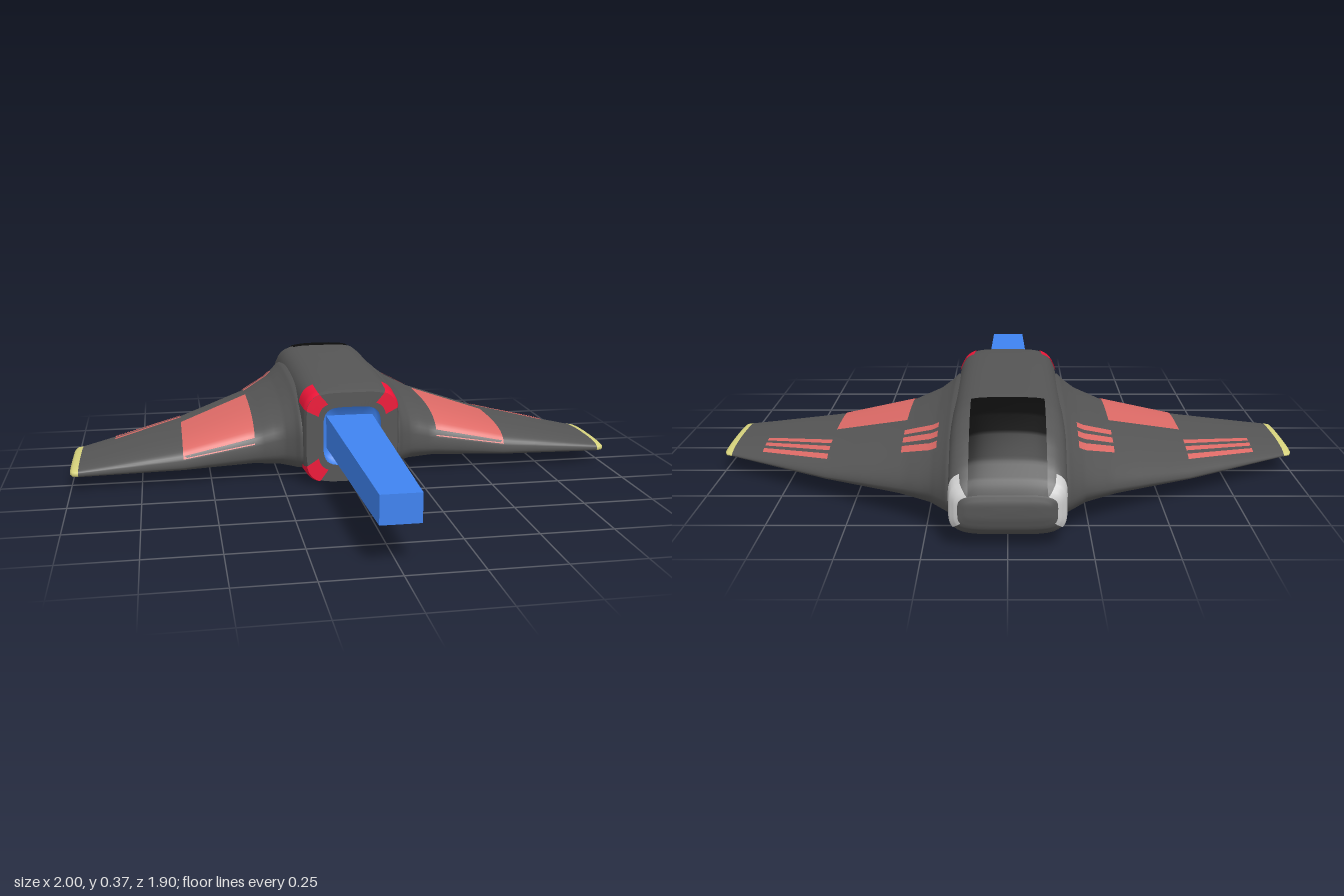
import * as THREE from 'three';
import { mergeVertices } from 'three/addons/utils/BufferGeometryUtils.js';

const COLORS = { hull: 0x555555, stripe: 0xdd6a66, red: 0xee1538, flame: 0x3f83f0, canopy: 0x0b0b0b, tip: 0xd6d27c, grey: 0xcccccc };

// Fuselage stations, nose to tail: z, half width, bottom y, top y
const BODY = [
  [-0.95, 0.12, 0.1, 0.15], [-0.942, 0.15, 0.07, 0.178], [-0.925, 0.168, 0.05, 0.207],
  [-0.88, 0.175, 0.027, 0.252], [-0.8, 0.178, 0.01, 0.31], [-0.72, 0.18, 0.004, 0.346],
  [-0.65, 0.18, 0.002, 0.364], [-0.55, 0.18, 0, 0.368], [-0.2, 0.18, 0, 0.365],
  [0.04, 0.18, 0.002, 0.358], [0.14, 0.174, 0.008, 0.35], [0.16, 0.166, 0.014, 0.343],
];
// Wing stations, root to tip: x, leading z, trailing z, bottom y, middle y, top y
const WING = [
  [0.14, -0.92, 0.14, 0.01, 0.14, 0.33], [0.18, -0.885, 0.135, 0.008, 0.135, 0.318],
  [0.2, -0.85, 0.11, 0.01, 0.13, 0.3], [0.24, -0.79, 0.08, 0.016, 0.125, 0.27],
  [0.34, -0.7, 0.06, 0.03, 0.105, 0.222], [0.6, -0.52, 0.07, 0.035, 0.075, 0.15],
  [0.97, -0.27, 0.08, 0.043, 0.063, 0.086],
];
const TIP = [
  WING[6], [0.99, -0.262, 0.077, 0.046, 0.063, 0.083],
  [1, -0.24, 0.06, 0.053, 0.063, 0.073], [1, -0.09, -0.09, 0.063, 0.063, 0.063],
];

const lerp = THREE.MathUtils.lerp;
const mix = (a, b, t) => a.map((v, i) => lerp(v, b[i], t));

// Row of a table at fraction v of its rows
function rowAt(table, v) {
  const f = v * (table.length - 1), i = Math.min(Math.floor(f), table.length - 2);
  return mix(table[i], table[i + 1], f - i);
}

// Row of a table at a value of its first column
function rowFor(table, key) {
  let i = 0;
  while (i < table.length - 2 && table[i + 1][0] < key) i++;
  return mix(table[i], table[i + 1], (key - table[i][0]) / (table[i + 1][0] - table[i][0]));
}

// Smooth grid mesh of fn(u, v) => [x, y, z]
function surface(name, color, fn, nu, nv, side = THREE.FrontSide) {
  const pos = [], idx = [];
  for (let j = 0; j <= nv; j++) for (let i = 0; i <= nu; i++) pos.push(...fn(i / nu, j / nv));
  for (let j = 0; j < nv; j++) {
    for (let i = 0; i < nu; i++) {
      const a = j * (nu + 1) + i, b = a + 1, c = a + nu + 1, d = c + 1;
      idx.push(a, b, c, b, d, c);
    }
  }
  let geo = new THREE.BufferGeometry();
  geo.setAttribute('position', new THREE.Float32BufferAttribute(pos, 3));
  geo.setIndex(idx);
  geo = mergeVertices(geo, 1e-5);
  geo.computeVertexNormals();
  const mesh = new THREE.Mesh(geo, new THREE.MeshStandardMaterial({ color, side }));
  mesh.name = name;
  return mesh;
}

// Rounded square cross-section point at angle a
const P = 4.5;
function ringPoint([z, hw, yb, yt], a, off = 0) {
  const c = Math.cos(a), s = Math.sin(a);
  const k = 1 / Math.pow(Math.abs(c) ** P + Math.abs(s) ** P, 1 / P);
  return [c * k * (hw + off), (yb + yt) / 2 + s * k * ((yt - yb) / 2 + off), z];
}
const bodyLoft = (name, color, rows, nv) =>
  surface(name, color, (u, v) => ringPoint(rowAt(rows, v), u * Math.PI * 2), 72, nv);

// Aerofoil: s runs from -1 at the leading edge to 1 at the trailing edge
const foil = (s) => (s < 0 ? Math.sqrt(Math.max(0, 1 - s * s)) : Math.cbrt(Math.max(0, 1 - s * s * s)));
function wingPoint([x, le, te, yb, ym, yt], th) {
  const s = -Math.cos(th);
  return [x, ym + foil(s) * (th <= Math.PI ? yt - ym : yb - ym), (le + te) / 2 + (s * (te - le)) / 2];
}
const wingLoft = (name, color, rows, nv) =>
  surface(name, color, (u, v) => wingPoint(rowAt(rows, v), u * Math.PI * 2), 80, nv);

// Painted panel on the wing's upper side: z ranges at xa and xb
function wingPanel(name, xa, xb, [a0, a1], [b0, b1]) {
  return surface(name, COLORS.stripe, (u, v) => {
    const x = lerp(xa, xb, v);
    const [, le, te, , ym, yt] = rowFor(WING, x);
    const z = lerp(lerp(a0, b0, v), lerp(a1, b1, v), u);
    const s = THREE.MathUtils.clamp((2 * z - le - te) / (te - le), -0.99, 0.995);
    return [x, ym + foil(s) * (yt - ym) + 0.003, (le + te) / 2 + (s * (te - le)) / 2];
  }, 24, 10, THREE.DoubleSide);
}

// Painted patch wrapped on the fuselage between two angles (degrees) and depths
function bodyPatch(name, color, a0, a1, z0, z1) {
  return surface(name, color, (u, v) => {
    const a = THREE.MathUtils.degToRad(lerp(a0, a1, u));
    return ringPoint(rowFor(BODY, lerp(z0, z1, v)), a, 0.003);
  }, 16, 12, THREE.DoubleSide);
}

function createSide() {
  const side = new THREE.Group();
  side.add(wingLoft('wing', COLORS.hull, WING, 18), wingLoft('wingTip', COLORS.tip, TIP, 6));
  side.add(wingPanel('wingPanel', 0.34, 0.6, [-0.37, 0.06], [-0.25, 0.07]));
  for (let i = 0; i < 3; i++) {
    const a = -0.7 + i * 0.057, b = -0.6 + i * 0.053;
    side.add(wingPanel('innerStripe', 0.22, 0.34, [a, a + 0.034], [b, b + 0.034]));
    const c = -0.47 + i * 0.048, d = -0.315 + i * 0.042;
    side.add(wingPanel('outerStripe', 0.6, 0.85, [c, c + 0.028], [d, d + 0.024]));
  }
  side.add(bodyPatch('noseCorner', COLORS.grey, -38, 48, -0.944, -0.9));

  // Red tail corners, wrapped onto the rear face
  for (const [a0, a1] of [[32, 54], [-54, -32]]) {
    side.add(bodyPatch('tailCorner', COLORS.red, a0, a1, 0.05, 0.16));
    side.add(surface('tailCornerBack', COLORS.red, (u, v) => {
      const a = THREE.MathUtils.degToRad(lerp(a0, a1, u));
      return ringPoint(mix([0.163, 0.169, 0.011, 0.346], [0.163, 0.125, 0.055, 0.308], v), a);
    }, 10, 2, THREE.DoubleSide));
  }
  return side;
}

export function createModel() {
  const model = new THREE.Group();
  model.name = 'ship';

  // Fuselage with a closed nose and a rim around the engine opening
  const last = BODY[BODY.length - 1], opening = [0.16, 0.105, 0.075, 0.29];
  model.add(bodyLoft('fuselage', COLORS.hull, [[-0.951, 0, 0.125, 0.125], ...BODY], 36));
  model.add(bodyLoft('engineRim', COLORS.hull, [last, opening], 2));
  model.add(bodyLoft('engineNozzle', COLORS.flame,
    [opening, [0.1, 0.1, 0.08, 0.285], [0.09, 0, 0.182, 0.182]], 2));

  // Canopy, slightly domed above the hull
  model.add(surface('canopy', COLORS.canopy, (u, v) => {
    const z = lerp(-0.944, -0.6, u), x = lerp(-0.115, 0.115, v);
    const [, hw, yb, yt] = rowFor(BODY, z);
    const h = Math.pow(1 - Math.abs(x / hw) ** P, 1 / P);
    const dome = 0.004 + 0.007 * Math.sin(Math.PI * u) * (1 - (2 * v - 1) ** 2);
    return [x, (yb + yt) / 2 + (h * (yt - yb)) / 2 + dome, z];
  }, 50, 16, THREE.DoubleSide));

  // Both wings with their markings
  const left = createSide(), right = createSide();
  left.name = 'leftSide';
  right.name = 'rightSide';
  right.scale.x = -1;
  model.add(left, right);

  // Tapered exhaust flame
  const geo = new THREE.BoxGeometry(0.17, 0.12, 0.87);
  const p = geo.attributes.position;
  for (let i = 0; i < p.count; i++) {
    if (p.getZ(i) > 0) p.setXY(i, p.getX(i) * 0.76, p.getY(i) * 0.78);
  }
  geo.computeVertexNormals();
  const flame = new THREE.Mesh(geo, new THREE.MeshStandardMaterial({ color: COLORS.flame }));
  flame.name = 'exhaustFlame';
  flame.position.set(0, 0.185, 0.515);
  model.add(flame);
  return model;
}
